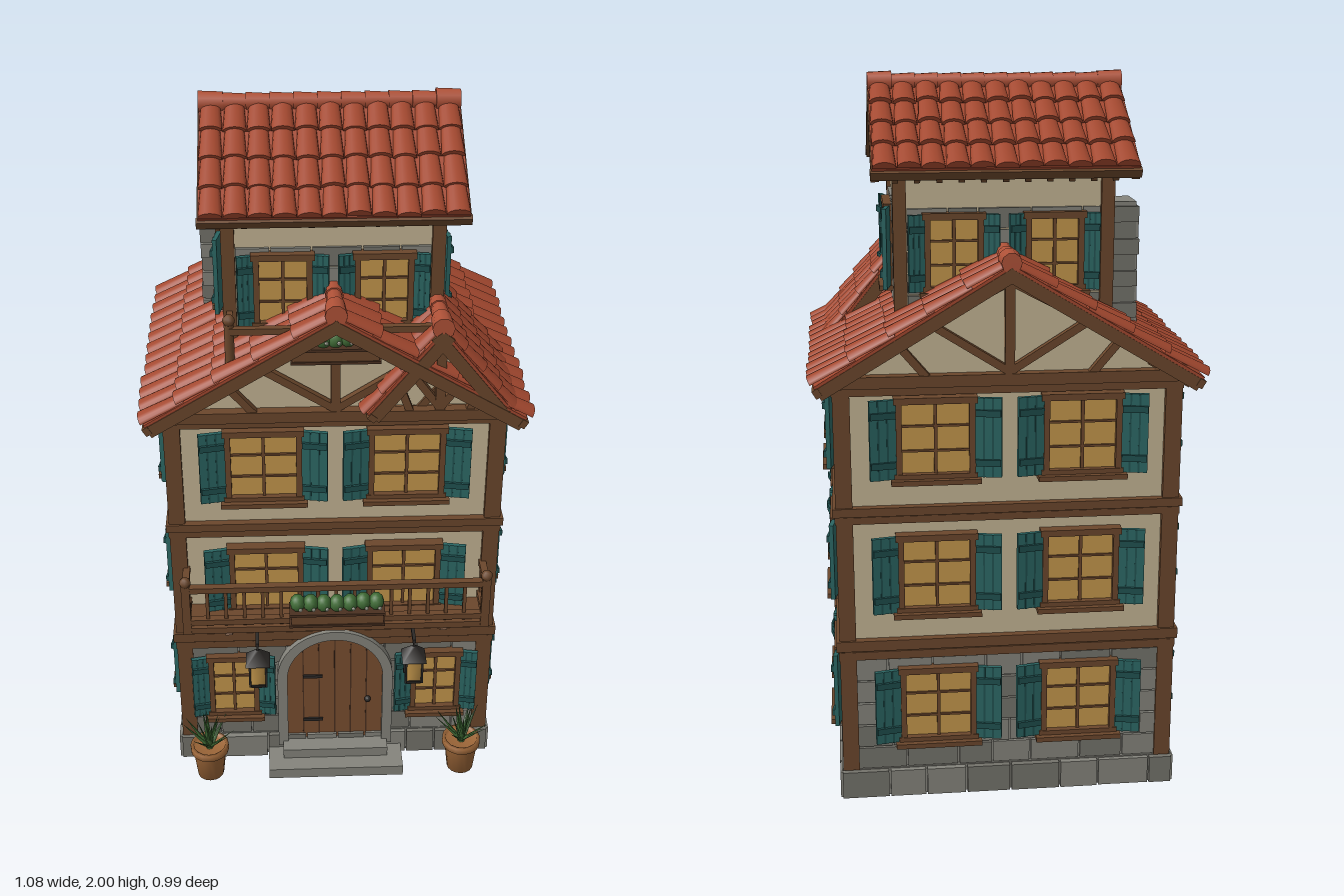
import * as THREE from 'three';
import { mergeGeometries } from 'three/addons/utils/BufferGeometryUtils.js';

const C = { cream: 0xc4b594, wood: 0x6b472c, dark: 0x4a3020, stone: 0x85847c, stone2: 0x74736b, teal: 0x2b6663, teal2: 0x1f4f4e,
  glass: 0xc4974c, roof: 0xa3482f, ridge: 0xb05238, door: 0x7a4e30, iron: 0x2b2826, pot: 0x9c6638, leaf: 0x3f6b35, white: 0xd8dcc8 };
const mats = {};
const mat = c => mats[c] ??= new THREE.MeshStandardMaterial({ color: C[c], side: THREE.DoubleSide });

let seed = 7;
const rnd = () => (seed = (seed * 16807) % 2147483647) / 2147483647;

function add(parent, name, geo, color, x = 0, y = 0, z = 0) {
  const m = new THREE.Mesh(geo, mat(color));
  m.name = name;
  m.position.set(x, y, z);
  parent.add(m);
  return m;
}
const box = (parent, name, color, w, h, d, x, y, z) => add(parent, name, new THREE.BoxGeometry(w, h, d), color, x, y, z);
function group(parent, name, x = 0, y = 0, z = 0, ry = 0) {
  const g = new THREE.Group();
  g.name = name;
  g.position.set(x, y, z);
  g.rotation.y = ry;
  parent.add(g);
  return g;
}
// Timber between two points in the xy plane
function beam(parent, name, x1, y1, x2, y2, t, d, z) {
  const m = box(parent, name, 'wood', Math.hypot(x2 - x1, y2 - y1), t, d, (x1 + x2) / 2, (y1 + y2) / 2, z);
  m.rotation.z = Math.atan2(y2 - y1, x2 - x1);
}
const extrude = (shape, depth) => new THREE.ExtrudeGeometry(shape, { depth, bevelEnabled: false, curveSegments: 20 });
const polygon = pts => new THREE.Shape(pts.map(p => new THREE.Vector2(...p)));

// Running-bond stone courses, slightly uneven in depth
function stones(parent, hw, y0, y1, z, rowH = 0.062) {
  const parts = [[], []];
  const rows = Math.round((y1 - y0) / rowH), h = (y1 - y0) / rows;
  for (let r = 0; r < rows; r++) {
    for (let x = -hw; x < hw - 0.01;) {
      let w = Math.min(0.08 + rnd() * 0.07, hw - x);
      if (hw - x - w < 0.04) w = hw - x;
      parts[rnd() < 0.6 ? 0 : 1].push(new THREE.BoxGeometry(w - 0.005, h - 0.005, 0.012 + rnd() * 0.006).translate(x + w / 2, y0 + (r + 0.5) * h, z));
      x += w;
    }
  }
  parts.forEach((p, i) => p.length && add(parent, 'stonework', mergeGeometries(p), i ? 'stone2' : 'stone'));
}

// Window with frame, glazing bars, sill and two shutters
function windowUnit(parent, x, y, w, h, sw) {
  const g = group(parent, 'window', x, y, 0);
  box(g, 'glass', 'glass', w - 0.02, h - 0.02, 0.016, 0, 0, 0.006);
  for (const s of [-1, 1]) {
    box(g, 'frameSide', 'wood', 0.016, h, 0.032, s * (w / 2 - 0.008), 0, 0.014);
    box(g, 'frameRail', 'wood', w + 0.012, 0.018, 0.036, 0, s * (h / 2 - 0.009), 0.014);
    box(g, 'glazingBar', 'wood', w - 0.02, 0.006, 0.012, 0, s * h * 0.15, 0.014);
    const hinge = group(g, 'shutter', s * w / 2, 0, 0.02, -s * 0.18);
    box(hinge, 'shutterPanel', 'teal', sw, h * 0.96, 0.012, s * sw / 2, 0, 0);
    for (const k of [-1, 1]) {
      box(hinge, 'shutterBatten', 'teal2', sw * 0.94, 0.018, 0.01, s * sw / 2, k * h * 0.3, 0.009);
      box(hinge, 'shutterEdge', 'teal2', 0.005, h * 0.96, 0.006, s * sw / 2 + k * sw * 0.17, 0, 0.005);
    }
  }
  box(g, 'mullion', 'wood', 0.009, h - 0.02, 0.014, 0, 0, 0.014);
  box(g, 'sill', 'wood', w + 0.03, 0.014, 0.05, 0, -h / 2 - 0.002, 0.022);
}

// Pitched roof, ridge along local x at y = 0, with barrel tiles, boards and rafter tails
function roof(parent, name, len, run, drop, cols, courses, x, y, z, ry, tails) {
  const g = group(parent, name, x, y, z, ry);
  const L = Math.hypot(run, drop), a = Math.atan2(drop, run), cw = len / cols, cl = L / courses;
  for (const s of [0, 1]) {
    const side = group(g, 'roofSlope', 0, 0, 0, s * Math.PI);
    side.rotation.order = 'YXZ';
    side.rotation.x = a;
    box(side, 'tileBed', 'roof', len, 0.014, L, 0, -0.004, L / 2);
    box(side, 'roofBoards', 'dark', len - 0.02, 0.012, L - 0.01, 0, -0.017, L / 2 - 0.005);
    const tiles = [];
    for (let i = 0; i < cols; i++) for (let j = 0; j < courses; j++) {
      tiles.push(new THREE.CylinderGeometry(cw * 0.5, cw * 0.4, cl * 1.12, 8, 1, false, Math.PI / 2, Math.PI)
        .rotateX(Math.PI / 2).scale(1, 0.6, 1).rotateX(-0.06)
        .translate((i + 0.5) * cw - len / 2, 0.004 + rnd() * 0.004, (j + 0.5) * cl + (rnd() - 0.5) * 0.008));
    }
    add(side, 'tiles', mergeGeometries(tiles), 'roof');
    box(side, 'fascia', 'wood', len + 0.01, 0.024, 0.018, 0, -0.016, L);
    for (const e of [-1, 1]) box(side, 'bargeboard', 'wood', 0.022, 0.034, L, e * (len / 2 - 0.008), -0.022, L / 2);
    for (let i = 0; i < tails; i++) box(side, 'rafterTail', 'wood', 0.016, 0.028, 0.13, ((i + 0.5) / tails - 0.5) * (len - 0.06), -0.034, L - 0.07);
  }
  // Ridge caps
  const n = Math.round(len / 0.064);
  for (let i = 0; i < n; i++) {
    const end = i === 0 || i === n - 1;
    add(g, 'ridgeCap', new THREE.CylinderGeometry(end ? 0.03 : 0.025, end ? 0.027 : 0.021, len / n * 1.05, 10).rotateZ(Math.PI / 2), 'ridge', ((i + 0.5) / n - 0.5) * len, 0.008, 0);
  }
  return g;
}

// Gable timbers: tie beam, king post, struts and collar
function truss(parent, hw, y0, rise, z) {
  const t = 0.026;
  box(parent, 'tieBeam', 'wood', hw * 2, 0.032, 0.03, 0, y0, z);
  box(parent, 'kingPost', 'wood', t, rise, 0.026, 0, y0 + rise / 2, z);
  for (const s of [-1, 1]) {
    beam(parent, 'strut', 0, y0 + 0.02, s * hw * 0.45, y0 + rise * 0.58, t * 0.8, 0.022, z);
    beam(parent, 'principalRafter', s * hw, y0 + 0.015, 0, y0 + rise, t, 0.026, z);
    beam(parent, 'lowStrut', s * hw * 0.45, y0, s * hw * 0.62, y0 + rise * 0.36, t * 0.8, 0.022, z);
  }
}

function planter(parent, x, y, z, w, d) {
  const g = group(parent, 'planter', x, y, z);
  box(g, 'planterBox', 'wood', w, 0.04, d, 0, 0.02, 0);
  for (const yy of [0.003, 0.04]) box(g, 'planterTrim', 'dark', w + 0.01, 0.008, d + 0.008, 0, yy, 0);
  for (let i = 0; i < 7; i++) {
    const px = ((i + 0.5) / 7 - 0.5) * w;
    const b = add(g, 'foliage', new THREE.IcosahedronGeometry(0.026, 1), 'leaf', px, 0.06 + rnd() * 0.008, 0);
    b.scale.set(0.85, 1, d / 0.055);
    add(g, 'flower', new THREE.IcosahedronGeometry(0.006, 0), 'white', px + 0.008, 0.062, d / 2 + 0.004);
  }
}

function pottedPlant(parent, x, z) {
  const g = group(parent, 'pottedPlant', x, 0, z);
  const profile = [[0, 0], [0.04, 0], [0.05, 0.09], [0.058, 0.092], [0.058, 0.112], [0.048, 0.112], [0.046, 0.1], [0, 0.1]];
  add(g, 'pot', new THREE.LatheGeometry(profile.map(p => new THREE.Vector2(...p)), 16), 'pot');
  for (let i = 0; i < 16; i++) {
    const leaf = add(g, 'leaf', new THREE.ConeGeometry(0.011, 0.12, 4).scale(1, 1, 0.4).translate(0, 0.06, 0), 'leaf', 0, 0.1, 0);
    leaf.rotation.set(i % 2 ? 0.75 : 0.3, i * 2.4, 0, 'YXZ');
  }
}

function lantern(parent, x) {
  const g = group(parent, 'lantern', x, 0, 0.395);
  box(g, 'arm', 'iron', 0.01, 0.01, 0.09, 0, 0.492, -0.04);
  box(g, 'hook', 'iron', 0.006, 0.03, 0.006, 0, 0.48, 0);
  const part = (n, rt, rb, h, y, c) => add(g, n, new THREE.CylinderGeometry(rt, rb, h, 4).rotateY(Math.PI / 4), c, 0, y, 0);
  part('lanternRoof', 0.006, 0.05, 0.04, 0.452, 'iron');
  part('lanternGlass', 0.036, 0.028, 0.08, 0.394, 'glass');
  part('lanternBase', 0.034, 0.028, 0.012, 0.35, 'iron');
  for (const sx of [-1, 1]) for (const sz of [-1, 1]) box(g, 'lanternBar', 'iron', 0.006, 0.085, 0.006, sx * 0.024, 0.394, sz * 0.024);
}

function archShape(r, y0, yc) {
  const s = new THREE.Shape();
  s.moveTo(-r, y0); s.lineTo(r, y0); s.lineTo(r, yc);
  s.absarc(0, yc, r, 0, Math.PI, false);
  s.lineTo(-r, y0);
  return s;
}

export function createModel() {
  const house = new THREE.Group();
  house.name = 'house';
  const ZC = -0.06, TZ = -0.055;

  // Main body with attic, plinth, bands and corner posts
  box(house, 'plinth', 'stone', 0.95, 0.085, 0.76, 0, 0.0425, ZC);
  box(house, 'groundFloorWalls', 'stone', 0.91, 0.44, 0.74, 0, 0.22, ZC);
  box(house, 'upperWalls', 'cream', 0.91, 0.76, 0.74, 0, 0.82, ZC);
  add(house, 'attic', extrude(polygon([[-0.455, 1.19], [0.455, 1.19], [0.455, 1.225], [0, 1.5], [-0.455, 1.225]]), 0.74), 'cream', 0, 0, -0.43);
  for (const [y, h, e] of [[0.438, 0.024, 0], [0.47, 0.03, 0.012], [0.837, 0.02, 0], [0.862, 0.024, 0.012], [1.2, 0.03, 0]])
    box(house, 'floorBand', 'wood', 0.945 + e, h, 0.772 + e, 0, y, ZC);
  for (const sx of [-1, 1]) for (const sz of [-1, 1]) {
    box(house, 'cornerPost', 'wood', 0.046, 1.12, 0.046, sx * 0.447, 0.645, ZC + sz * 0.362);
    box(house, 'towerPost', 'wood', 0.036, 0.56, 0.036, sx * 0.279, 1.48, TZ + sz * 0.242);
  }

  // Main facades, each facing local +z
  const sides = [['front', 0, 0.31, 0], ['back', 0, -0.43, Math.PI], ['left', 0.455, ZC, Math.PI / 2], ['right', -0.455, ZC, -Math.PI / 2]];
  sides.forEach(([name, x, z, ry], i) => {
    const f = group(house, name + 'Facade', x, 0, z, ry);
    const wide = i < 2, hw = wide ? 0.43 : 0.345;
    stones(f, hw, 0.085, 0.425, 0.002);
    stones(f, hw + 0.045, 0, 0.085, 0.018, 0.085);
    for (const y of [0.285, 0.68, 1.066]) for (const s of [-1, 1]) {
      if (i === 0 && y < 0.3) windowUnit(f, s * 0.305, y, 0.15, 0.23, 0.05);
      else if (wide) windowUnit(f, s * 0.198, y, 0.212, 0.23, 0.072);
      else windowUnit(f, s * 0.148, y, 0.172, 0.23, 0.055);
    }
    if (wide) truss(f, 0.47, 1.225, 0.265, 0.018);
  });

  // Tower
  box(house, 'towerWalls', 'cream', 0.57, 0.58, 0.49, 0, 1.47, TZ);
  add(house, 'towerGable', extrude(polygon([[-0.245, 1.75], [0.245, 1.75], [0.245, 1.79], [0, 1.935], [-0.245, 1.79]]), 0.57).rotateY(Math.PI / 2), 'cream', -0.285, 0, TZ);
  box(house, 'towerPlate', 'wood', 0.6, 0.026, 0.52, 0, 1.757, TZ);
  [[0, TZ + 0.245, 0], [0, TZ - 0.245, Math.PI], [0.285, TZ, Math.PI / 2], [-0.285, TZ, -Math.PI / 2]].forEach(([x, z, ry], i) => {
    const f = group(house, 'towerFacade', x, 0, z, ry);
    stones(f, i < 2 ? 0.262 : 0.224, 1.25, 1.66, 0.002);
    if (i < 2) for (const s of [-1, 1]) windowUnit(f, s * 0.135, 1.54, 0.158, 0.215, 0.044);
    else {
      windowUnit(f, 0, 1.535, 0.19, 0.23, 0.072);
      truss(f, 0.3, 1.77, 0.165, 0.035);
    }
  });

  // Roofs
  roof(house, 'mainRoof', 0.865, 0.515, 0.31, 13, 5, 0, 1.533, -0.06, Math.PI / 2, 13);
  roof(house, 'towerRoof', 0.7, 0.325, 0.195, 11, 4, 0, 1.964, -0.058, 0, 11);
  roof(house, 'dormerRoof', 0.37, 0.195, 0.245, 6, 4, 0.28, 1.49, 0.185, Math.PI / 2, 0);
  add(house, 'dormerGable', extrude(polygon([[-0.15, 1.25], [0.15, 1.25], [0, 1.45]]), 0.03), 'cream', 0.28, 0, 0.3);
  truss(group(house, 'dormerTruss', 0.28, 0, 0.35), 0.17, 1.235, 0.215, 0);

  // Chimney stack
  const chimney = group(house, 'chimney', -0.32, 0, -0.222);
  box(chimney, 'chimneyCore', 'stone2', 0.085, 0.44, 0.12, 0, 1.42, 0);
  for (let i = 0; i < 9; i++) for (const s of [-1, 1])
    box(chimney, 'chimneyStone', i % 2 ? 'stone' : 'stone2', 0.094 + rnd() * 0.01, 0.042, 0.062 + (i % 2 ? s : -s) * 0.012, 0, 1.28 + i * 0.044, s * 0.033);
  box(chimney, 'chimneyCap', 'stone', 0.085, 0.02, 0.115, 0, 1.655, 0);

  // Roof balcony in front of the tower
  for (const s of [-1, 1]) {
    add(house, 'roofRailPost', new THREE.CylinderGeometry(0.013, 0.013, 0.18, 8), 'wood', s * 0.28, 1.41, 0.303);
    add(house, 'roofRailKnob', new THREE.SphereGeometry(0.017, 8, 6), 'wood', s * 0.28, 1.5, 0.303);
    box(house, 'roofRailReturn', 'wood', 0.016, 0.018, 0.11, s * 0.28, 1.472, 0.25);
  }
  box(house, 'roofRail', 'wood', 0.56, 0.018, 0.02, 0, 1.472, 0.308);
  planter(house, 0, 1.395, 0.335, 0.23, 0.045);

  // Front balcony
  box(house, 'balconyDeck', 'wood', 0.88, 0.02, 0.12, 0, 0.57, 0.365);
  for (const y of [0.6, 0.712]) {
    box(house, 'balconyRail', 'wood', 0.87, 0.018, 0.022, 0, y, 0.415);
    for (const s of [-1, 1]) box(house, 'balconySideRail', 'wood', 0.02, 0.018, 0.1, s * 0.428, y, 0.365);
  }
  for (let i = 0; i <= 16; i++) box(house, 'baluster', 'wood', 0.01, 0.13, 0.01, (i - 8) * 0.0525, 0.65, 0.415);
  for (const s of [-1, 1]) {
    box(house, 'balconyPost', 'wood', 0.024, 0.17, 0.024, s * 0.428, 0.645, 0.415);
    add(house, 'balconyKnob', new THREE.SphereGeometry(0.017, 8, 6), 'wood', s * 0.428, 0.735, 0.415);
    const br = group(house, 'balconyBracket', s * 0.31, 0, 0.32, -Math.PI / 2);
    beam(br, 'bracketBrace', 0, 0.49, 0.1, 0.56, 0.018, 0.02, 0);
    box(br, 'bracketPost', 'wood', 0.016, 0.08, 0.02, 0.004, 0.52, 0);
    lantern(house, s * 0.23);
    pottedPlant(house, s * 0.385, 0.397);
  }
  planter(house, 0, 0.622, 0.455, 0.26, 0.055);

  // Arched door with stone surround and steps
  const surround = archShape(0.174, 0.05, 0.315);
  surround.holes.push(archShape(0.144, 0.051, 0.315));
  add(house, 'doorSurround', extrude(surround, 0.04), 'stone', 0, 0, 0.305);
  add(house, 'door', extrude(archShape(0.146, 0.05, 0.315), 0.022), 'door', 0, 0, 0.305);
  for (let i = -2; i <= 2; i++) box(house, 'plankJoint', 'dark', 0.004, 0.385 - Math.abs(i) * 0.018, 0.004, i * 0.048, 0.255 - Math.abs(i) * 0.009, 0.327);
  for (const y of [0.14, 0.31]) box(house, 'hinge', 'iron', 0.06, 0.01, 0.008, -0.067, y, 0.329);
  add(house, 'doorKnob', new THREE.SphereGeometry(0.01, 10, 8), 'iron', 0.1, 0.22, 0.334);
  box(house, 'lowerStep', 'stone', 0.41, 0.034, 0.13, 0, 0.017, 0.37);
  box(house, 'upperStep', 'stone', 0.32, 0.066, 0.08, 0, 0.033, 0.345);

  return house;
}
